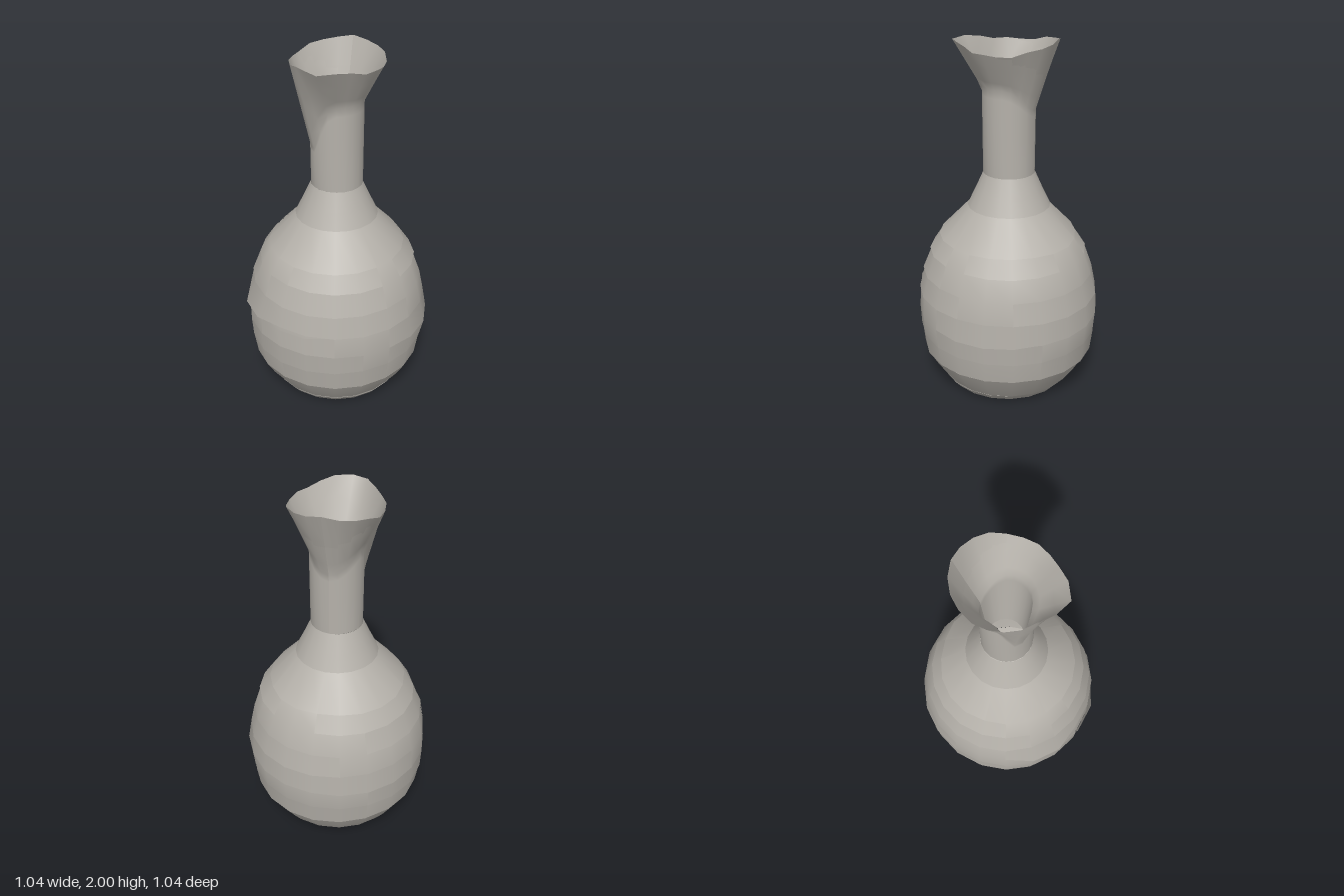
import * as THREE from 'three';

const clay = new THREE.MeshStandardMaterial({ color: 0xb5b1aa, side: THREE.DoubleSide });
clay.name = 'warm grey clay';

const SIDES = 20;
const STEP = (Math.PI * 2) / SIDES;
const lerp = THREE.MathUtils.lerp;

// Radius and height of each ring of the belly
const BELLY = [
  [0.481, 0.22], [0.5, 0.34], [0.509, 0.455], [0.5, 0.58],
  [0.475, 0.7], [0.432, 0.82], [0.376, 0.91], [0.222, 1.08],
];

// Turned band; angles are measured from the front (+z) towards +x, starting at the back
const turned = (profile, start = 0, sides = SIDES) => new THREE.LatheGeometry(
  profile.map(([r, y]) => new THREE.Vector2(r, y)), sides, Math.PI + start * STEP, sides * STEP);

// Strip over one belly band, with its lower (0) or upper (1) edge lifted in the middle
function liftedStrip(band, start, sides, edge, lift) {
  const profile = [BELLY[band], BELLY[band + 1]].map(([r, y]) => [r + 0.001, y]);
  const geometry = turned(profile, start, sides);
  const pos = geometry.attributes.position;
  for (let i = 0; i <= sides; i++) {
    const v = i * 2 + edge;
    const k = 1 + (lift / profile[edge][0]) * Math.sin((Math.PI * i) / sides);
    pos.setX(v, pos.getX(v) * k);
    pos.setZ(v, pos.getZ(v) * k);
  }
  return geometry;
}

// Neck wall flaring into a wavy rim with a pointed spout at the front
function flared(bottom, throat) {
  const rows = [0, 0.5, 0.9, 1, 1.2, 1.6, 2];
  const positions = [], index = [];
  for (const row of rows) {
    for (let i = 0; i <= SIDES; i++) {
      const a = Math.PI + i * STEP;
      const c = Math.cos(a);
      const rim = 0.244 + 0.064 * Math.max(0, c) ** 12 + 0.016 * Math.max(0, -c);
      const rimY = 1.964 + 0.022 * Math.cos(2 * a) - 0.008 * c - 0.006 * Math.cos(7 * a);
      // The flare starts lower at the back and lowest at the front right
      const flareY = 1.75 - 0.13 * Math.max(0, -c) ** 2
        - 0.27 * Math.max(0, Math.cos(a + Math.PI / 4)) ** 6;
      // Rows 0..1 climb the neck, rows 1..2 climb the flare
      const t = Math.max(0, row - 1);
      const r = row < 1 ? lerp(bottom, throat, row) : lerp(throat, rim, t);
      const y = row < 1 ? lerp(1.27, flareY, row) : lerp(flareY, rimY, t);
      positions.push(r * Math.sin(a), y, r * c);
    }
  }
  const w = SIDES + 1;
  for (let j = 0; j < rows.length - 1; j++) {
    for (let i = 0; i < SIDES; i++) {
      const p = j * w + i;
      index.push(p, p + 1, p + w, p + 1, p + w + 1, p + w);
    }
  }
  const geometry = new THREE.BufferGeometry();
  geometry.setAttribute('position', new THREE.Float32BufferAttribute(positions, 3));
  geometry.setIndex(index);
  geometry.computeVertexNormals();
  return geometry;
}

export function createModel() {
  const group = new THREE.Group();
  group.name = 'vase';

  const add = (name, geometry, x = 0, y = 0, z = 0) => {
    const mesh = new THREE.Mesh(geometry, clay);
    mesh.name = name;
    mesh.position.set(x, y, z);
    group.add(mesh);
  };

  // Foot, belly and shoulder, with creases where the bands meet
  add('foot', turned([[0.3, 0.005], [0.345, 0.02], [0.378, 0.06]]), -0.01, 0, 0);
  add('lowerBelly', turned([[0.378, 0.06], [0.435, 0.14], [0.481, 0.22]]), -0.012, 0, -0.004);
  add('belly', turned(BELLY), -0.012, 0, -0.006);
  add('shoulder', turned([[0.228, 1.08], [0.185, 1.17], [0.141, 1.27]]), -0.012, 0, -0.01);

  // Overlapping edges around the belly: band, first side, number of sides, edge, lift
  const edges = [
    [0, 9, 4, 0, 0.006], [0, 17, 5, 0, 0.005],
    [1, 2, 4, 0, 0.005], [1, 7, 5, 0, 0.006],
    [2, 0, 4, 0, 0.006], [2, 16, 4, 0, 0.005],
    [3, 9, 5, 0, 0.006], [3, 16, 5, 0, 0.007],
    [4, 2, 5, 0, 0.006], [4, 8, 5, 0, 0.007],
    [5, 0, 6, 0, 0.007], [5, 9, 4, 0, 0.007], [5, 14, 4, 0, 0.008],
    [6, 1, 4, 0, 0.01], [6, 8, 5, 0, 0.008], [6, 17, 3, 0, 0.012],
  ];
  for (const strip of edges) add('bandEdge', liftedStrip(...strip), -0.012, 0, -0.006);

  // Larger loose flaps: front, front right, and a ridge on the left side
  add('frontFlap', liftedStrip(2, 8, 3, 1, 0.03), -0.012, 0, -0.006);
  add('rightFlap', liftedStrip(3, 6, 3, 0, 0.035), -0.012, 0, -0.006);
  add('leftRidgeLower', liftedStrip(1, 13, 4, 1, 0.018), -0.012, 0, -0.006);
  add('leftRidgeUpper', liftedStrip(2, 13, 4, 0, 0.018), -0.012, 0, -0.006);

  // Neck and its narrower inner wall
  add('neck', flared(0.141, 0.143), -0.01, 0, -0.01);
  add('innerThroat', flared(0.1, 0.133), -0.01, 0, -0.015);

  // Underside ring with a centre of narrow wedges parted by slits
  const ring = new THREE.RingGeometry(0.15, 0.3, SIDES);
  ring.rotateX(Math.PI / 2);
  add('baseRing', ring, -0.01, 0.005, 0);
  const wedges = 16;
  for (let i = 0; i < wedges; i++) {
    const step = (Math.PI * 2) / wedges;
    const wedge = new THREE.CircleGeometry(0.152, 2, i * step, step * (i % 3 ? 0.88 : 0.72));
    wedge.rotateX(Math.PI / 2);
    add('baseWedge', wedge, -0.01, 0.004, 0);
  }

  return group;
}
